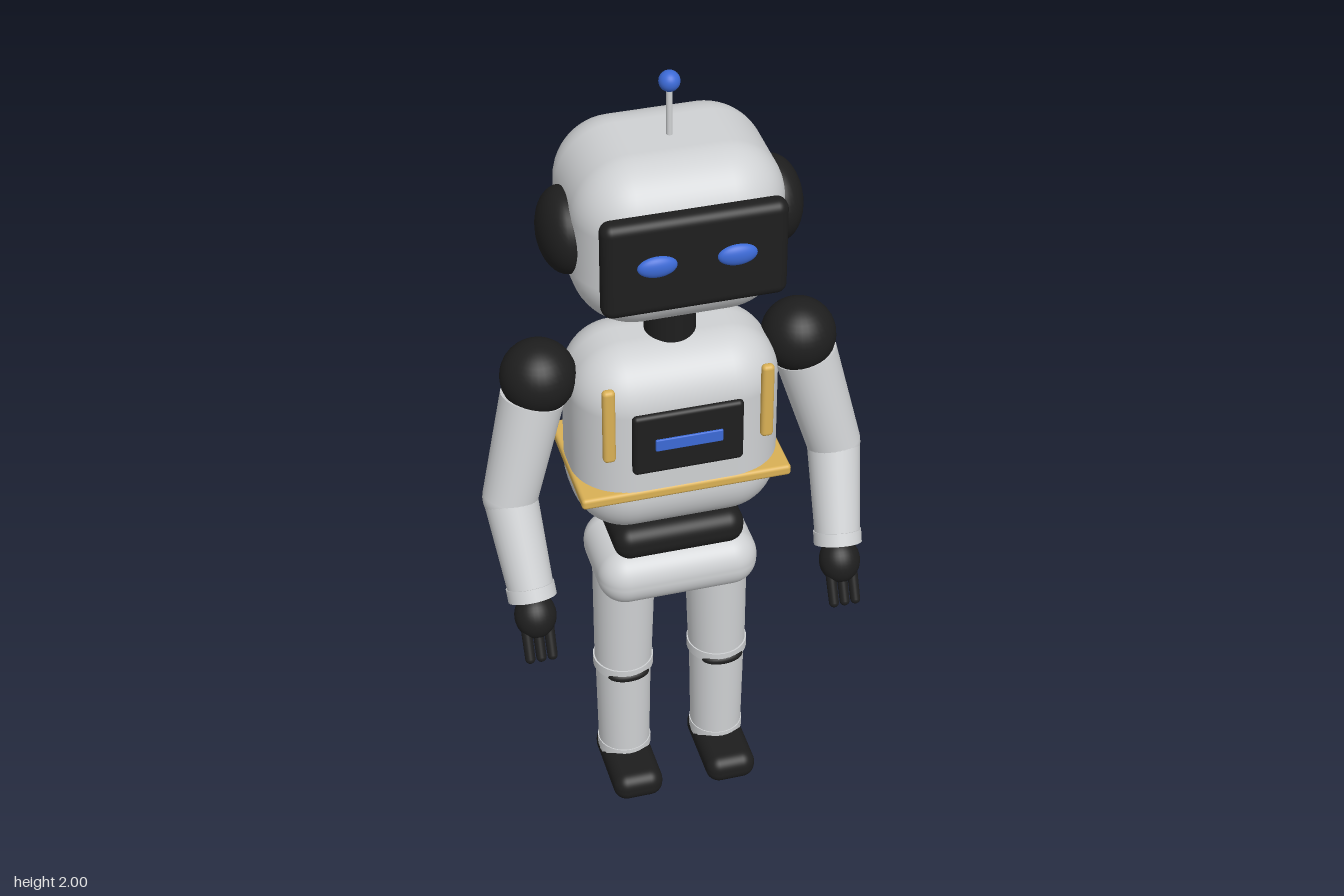
import * as THREE from 'three';
import { RoundedBoxGeometry } from 'three/addons/geometries/RoundedBoxGeometry.js';

const mat = (name, color) => {
  const m = new THREE.MeshStandardMaterial({ color });
  m.name = name;
  return m;
};

export function createModel() {
  const shell = mat('pale grey shell', 0xcfd1d3);
  const black = mat('black joints', 0x1e1e1e);
  const gold = mat('gold trim', 0xd9b055);
  const blue = mat('blue lights', 0x3c6ad6);
  const robot = new THREE.Group();
  robot.name = 'robot';

  const add = (name, geometry, material, pos, parent = robot) => {
    const m = new THREE.Mesh(geometry, material);
    m.name = name;
    m.position.set(...pos);
    parent.add(m);
    return m;
  };
  const box = (name, material, size, radius, pos, parent) =>
    add(name, new RoundedBoxGeometry(...size, 7, radius), material, pos, parent);
  const ball = (name, material, radii, pos, parent) => {
    const m = add(name, new THREE.SphereGeometry(1, 32, 20), material, pos, parent);
    m.scale.set(...radii);
    return m;
  };
  // Tapered round limb running from point a to point b
  const up = new THREE.Vector3(0, 1, 0);
  const limb = (name, material, a, b, ra, rb, parent) => {
    const A = new THREE.Vector3(...a), B = new THREE.Vector3(...b);
    const dir = A.clone().sub(B);
    const mid = A.clone().add(B).multiplyScalar(0.5);
    const m = add(name, new THREE.CylinderGeometry(ra, rb, dir.length(), 32), material, mid.toArray(), parent);
    m.quaternion.setFromUnitVectors(up, dir.normalize());
    return m;
  };

  // Head, face and antenna
  box('head', shell, [0.485, 0.412, 0.415], 0.14, [0, 1.638, -0.026]);
  box('facePlate', black, [0.42, 0.24, 0.055], 0.025, [0, 1.65, 0.184]);
  limb('antennaRod', shell, [0, 1.97, -0.015], [0, 1.83, -0.015], 0.007, 0.007);
  ball('antennaTip', blue, [0.024, 0.024, 0.024], [0, 1.976, -0.015]);
  limb('neck', black, [0, 1.46, -0.013], [0, 1.31, -0.013], 0.06, 0.06);

  // Torso, chest panel and belt
  box('torso', shell, [0.496, 0.505, 0.312], 0.13, [0, 1.082, -0.014]);
  box('chestPanel', black, [0.264, 0.165, 0.03], 0.012, [0, 1.13, 0.14]);
  box('chestLight', blue, [0.16, 0.032, 0.01], 0.003, [0, 1.13, 0.155]);
  box('belt', gold, [0.504, 0.028, 0.323], 0.009, [0, 0.98, -0.016]);
  box('waist', black, [0.32, 0.09, 0.235], 0.04, [0, 0.786, -0.014]);
  box('pelvis', shell, [0.395, 0.145, 0.264], 0.068, [0, 0.677, -0.013]);

  for (const s of [1, -1]) {
    const side = s > 0 ? 'left' : 'right';
    ball(side + 'Eye', blue, [0.045, 0.026, 0.017], [s * 0.09, 1.66, 0.212]);
    ball(side + 'Ear', black, [0.062, 0.1, 0.1], [s * 0.242, 1.64, -0.014]);
    box(side + 'ChestStrap', gold, [0.03, 0.2, 0.022], 0.01, [s * 0.187, 1.2, 0.146]);

    // Arm
    const arm = new THREE.Group();
    arm.name = side + 'Arm';
    robot.add(arm);
    const elbow = [s * 0.396, 0.948, 0.022];
    const wrist = [s * 0.377, 0.735, 0.137];
    ball('shoulder', black, [0.089, 0.089, 0.089], [s * 0.311, 1.253, -0.015], arm);
    limb('upperArm', shell, [s * 0.328, 1.2, -0.01], elbow, 0.075, 0.065, arm);
    ball('elbow', shell, [0.065, 0.065, 0.065], elbow, arm);
    limb('forearm', shell, elbow, wrist, 0.064, 0.054, arm);
    limb('wristCuff', shell, [s * 0.379, 0.757, 0.125], [s * 0.377, 0.729, 0.14], 0.058, 0.058, arm);
    const hand = ball('hand', black, [0.05, 0.056, 0.045], [s * 0.376, 0.692, 0.16], arm);
    hand.rotation.x = -0.49;
    for (const i of [-1, 0, 1]) {
      const x = s * 0.376 + i * 0.027;
      const tip = [x, 0.603, 0.21];
      limb('finger', black, [x, 0.68, 0.172], tip, 0.013, 0.012, arm);
      ball('fingerTip', black, [0.012, 0.012, 0.012], tip, arm);
    }

    // Leg
    const leg = new THREE.Group();
    leg.name = side + 'Leg';
    robot.add(leg);
    const x = s * 0.121;
    limb('thigh', shell, [s * 0.116, 0.66, -0.013], [x, 0.345, -0.013], 0.077, 0.071, leg);
    limb('kneeCuff', shell, [x, 0.363, -0.013], [x, 0.337, -0.013], 0.075, 0.075, leg);
    ball('kneeCap', black, [0.053, 0.017, 0.028], [x, 0.338, 0.038], leg);
    limb('shin', shell, [x, 0.345, -0.013], [x, 0.05, -0.013], 0.069, 0.064, leg);
    limb('ankleCuff', shell, [x, 0.088, -0.013], [x, 0.064, -0.013], 0.067, 0.067, leg);
    box('foot', black, [0.126, 0.076, 0.236], 0.034, [x, 0.038, 0.036], leg);
  }
  return robot;
}
